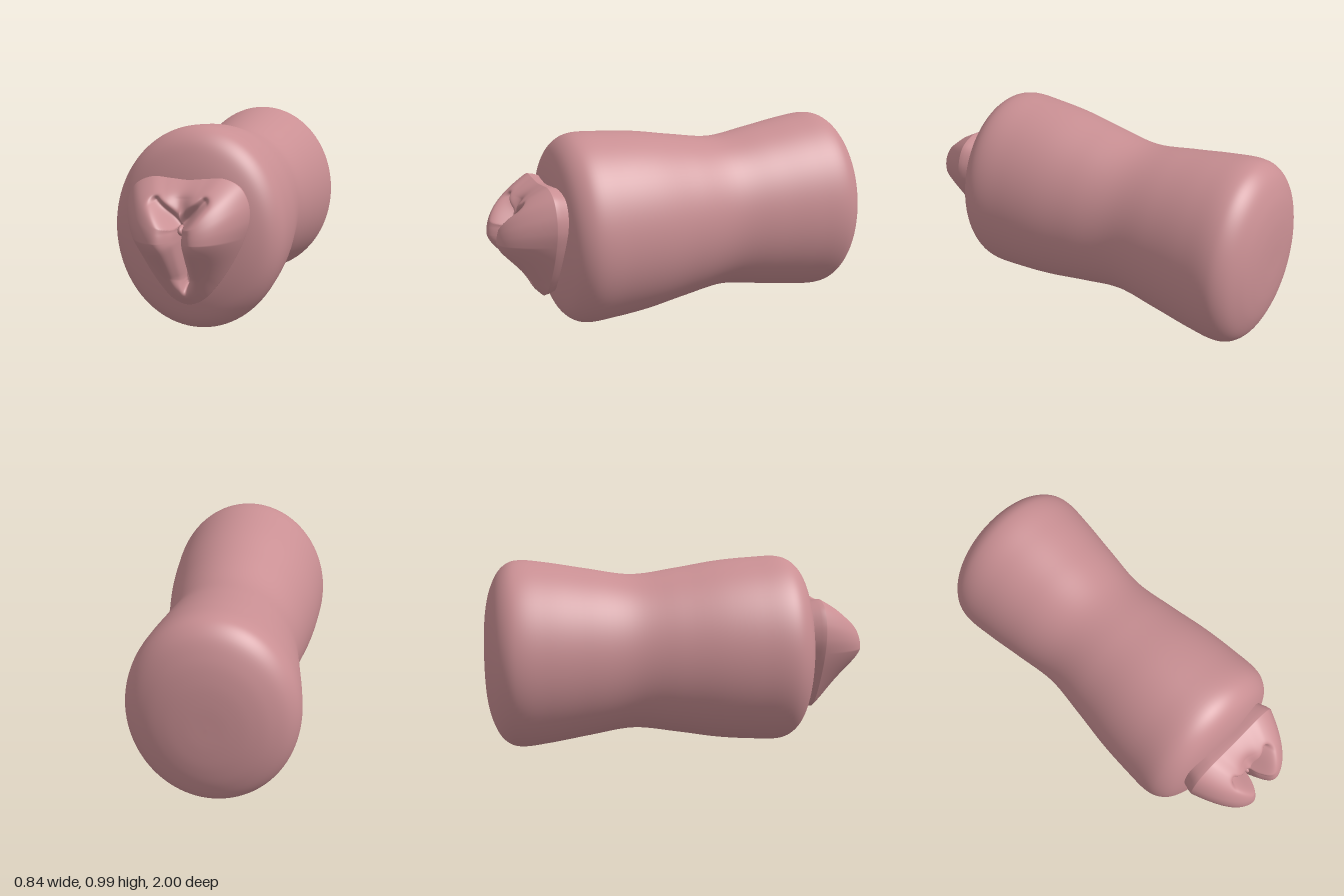
import * as THREE from 'three';

const skin = new THREE.MeshStandardMaterial({ color: 0xc98f93 });
skin.name = 'rose';

const CY = 0.497; // height of the long axis
const lerp = THREE.MathUtils.lerp;
const bell = (d, w) => Math.exp(-((d / w) ** 2));

// Waisted sleeve: a lathe laid along z and squashed to an oval
function makeSleeve() {
  const smooth = new THREE.CatmullRomCurve3([
    [0, -1], [0.13, -0.998], [0.24, -0.988], [0.34, -0.965], [0.43, -0.922], [0.475, -0.87],
    [0.488, -0.81], [0.474, -0.67], [0.44, -0.46], [0.408, -0.23], [0.438, 0], [0.474, 0.22],
    [0.49, 0.4], [0.494, 0.55], [0.475, 0.607], [0.43, 0.655], [0.35, 0.69], [0.22, 0.715], [0, 0.725],
  ].map(([r, z]) => new THREE.Vector3(r, z, 0)), false, 'centripetal');
  const profile = smooth.getPoints(110).map(p => new THREE.Vector2(Math.max(p.x, 0), p.y));
  const geo = new THREE.LatheGeometry(profile, 96);
  geo.rotateX(Math.PI / 2);
  geo.scale(0.85, 1, 1);
  geo.translate(0, CY, 0);
  const mesh = new THREE.Mesh(geo, skin);
  mesh.name = 'sleeve';
  return mesh;
}

// Depth of the central slit and the two upper creases
function crease(x, y) {
  const ax = Math.abs(x);
  const along = THREE.MathUtils.smoothstep(y, 0.2, 0.32) * (1 - THREE.MathUtils.smoothstep(y, 0.54, 0.6));
  const slit = along * (0.1 * bell(ax, 0.045) + 0.12 * bell(ax, 0.012));
  // Creases run from the top of the slit outward and up
  const dx = 0.115, dy = 0.115, ox = ax, oy = y - 0.56;
  const t = THREE.MathUtils.clamp((ox * dx + oy * dy) / (dx * dx + dy * dy), 0, 1);
  const dist = Math.hypot(ox - t * dx, oy - t * dy);
  const arm = lerp(0.13, 0.05, t) * bell(dist, lerp(0.028, 0.02, t));
  // Recessed hood between the creases
  const hood = 0.055 * bell(ax, 0.06) * bell(y - 0.63, 0.07);
  return Math.max(slit, arm) + hood;
}

// Heart-shaped mound, as rings shrinking from its outline to the middle
function makeMound() {
  const half = [[0.09, 0.767], [0.17, 0.771], [0.25, 0.735], [0.29, 0.66], [0.295, 0.58],
    [0.27, 0.49], [0.22, 0.385], [0.145, 0.27], [0.07, 0.192]];
  const ring = [[0, 0.168], ...half.slice().reverse(), [0, 0.76], ...half.map(([x, y]) => [-x, y])];
  const outline = new THREE.CatmullRomCurve3(
    ring.map(([x, y]) => new THREE.Vector3(x, y - 0.5, 0)), true, 'centripetal');
  const N = 320, M = 70, pos = [], idx = [];
  const pts = outline.getSpacedPoints(N).slice(0, N);
  // The first rings tuck back under the rim and into the sleeve
  const tuck = [[0.93, 0.67], [0.955, 0.70], [0.985, 0.725]];
  for (let j = 0; j < M + tuck.length; j++) {
    for (const p of pts) {
      if (j < tuck.length) {
        pos.push(p.x * tuck[j][0], 0.5 + p.y * tuck[j][0], tuck[j][1]);
        continue;
      }
      const k = (j - tuck.length) / (M - 1);
      const s = Math.max(1 - k ** 1.3, 0.002);
      const up = p.y / p.length();
      const power = up > 0 ? lerp(3.5, 1.8, up) : lerp(3.5, 1.3, -up);
      const g = 1 - s ** power;
      const x = p.x * s, y = 0.5 + p.y * s;
      const z = 0.75 + 0.255 * g - crease(x, y) * Math.min(1, g * 2.2);
      pos.push(x, y, Math.max(z, 0.735));
    }
  }
  for (let j = 0; j < M + tuck.length - 1; j++) {
    for (let i = 0; i < N; i++) {
      const a = j * N + i, b = j * N + (i + 1) % N;
      idx.push(a, b, b + N, a, b + N, a + N);
    }
  }
  const geo = new THREE.BufferGeometry();
  geo.setAttribute('position', new THREE.Float32BufferAttribute(pos, 3));
  geo.setIndex(idx);
  geo.computeVertexNormals();
  const mesh = new THREE.Mesh(geo, skin);
  mesh.name = 'frontMound';
  return mesh;
}

// Small bead where the creases meet
function makeBead() {
  const mesh = new THREE.Mesh(new THREE.SphereGeometry(1, 24, 16), skin);
  mesh.scale.set(0.018, 0.026, 0.05);
  mesh.position.set(0, 0.54, 0.83);
  mesh.name = 'centreBead';
  return mesh;
}

export function createModel() {
  const group = new THREE.Group();
  group.name = 'contouredSleeve';
  group.add(makeSleeve(), makeMound(), makeBead());
  return group;
}
